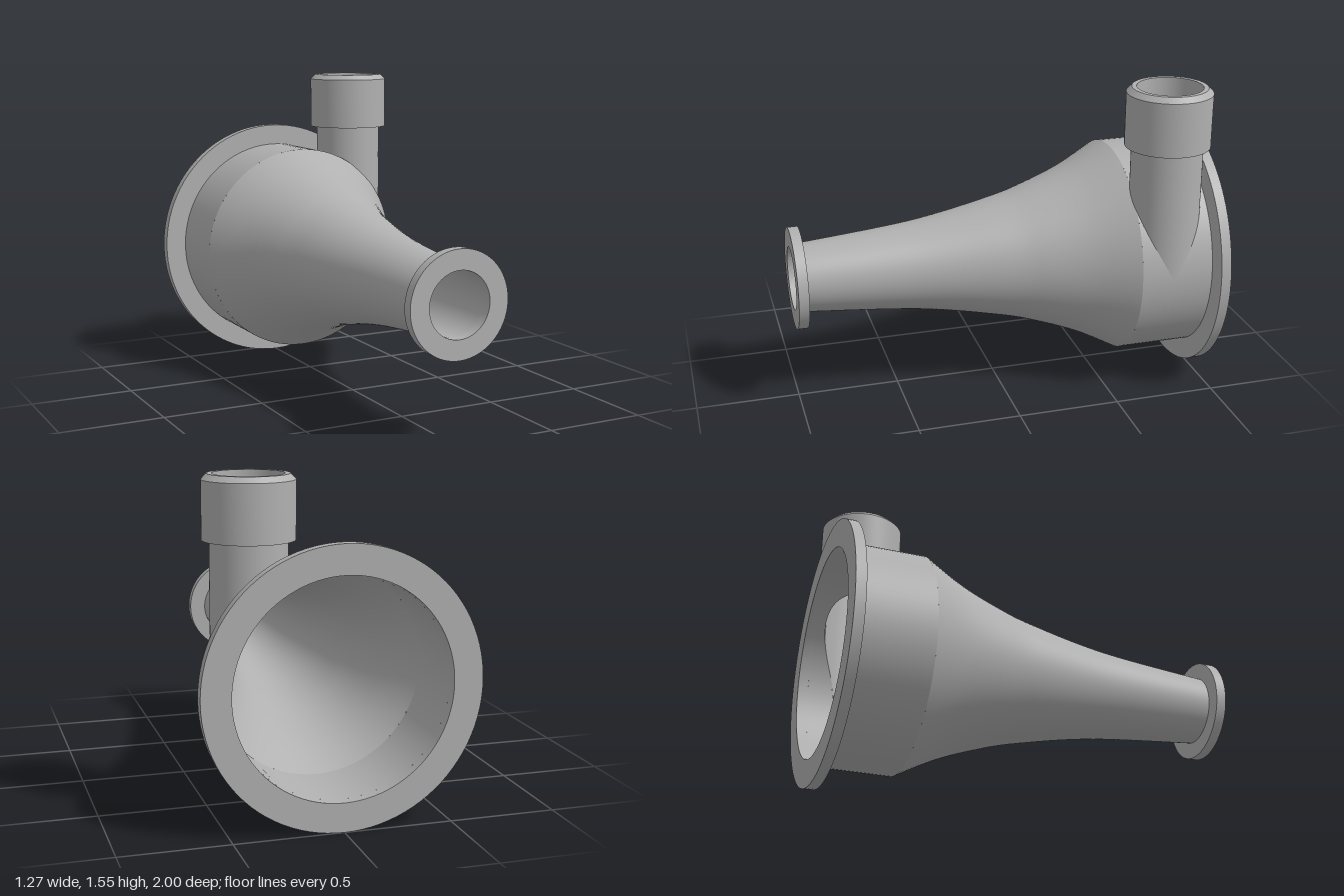
import * as THREE from 'three';
import { toCreasedNormals } from 'three/addons/utils/BufferGeometryUtils.js';

const AXIS_Y = 0.635;                 // height of the main axis
const PIPE_X = 0.36, PIPE_Z = -0.755; // axis of the tangential inlet
const BORE = 0.155;
const SHOULDER = -0.595;              // where the drum meets the cone

export function createModel() {
  const model = new THREE.Group();
  model.name = 'cycloneHousing';
  const steel = new THREE.MeshStandardMaterial({ color: 0xb0b0b0, side: THREE.DoubleSide });
  steel.name = 'grey';

  function add(name, geometry, y = 0) {
    const mesh = new THREE.Mesh(geometry, steel);
    mesh.name = name;
    mesh.position.y = y;
    model.add(mesh);
  }

  // Profile is [radius, height along axis]
  function turned(profile, segments = 96) {
    const pts = profile.map(([r, h]) => new THREE.Vector2(r, h));
    return new THREE.LatheGeometry(pts, segments);
  }

  function flange(name, outer, inner, z0, z1) {
    const geo = turned([[inner, z0], [outer, z0], [outer, z1], [inner, z1], [inner, z0]]);
    add(name, toCreasedNormals(geo, 0.5).rotateX(Math.PI / 2), AXIS_Y);
  }

  // Drum wall along z with the round inlet opening cut through its upper side
  function drumWall(R, hole, z0, z1, inward) {
    const N = 32, xMax = Math.min(R, PIPE_X + hole);
    const phiMax = Math.acos(Math.max(-1, (PIPE_X - xMax) / hole));
    const cols = [];
    for (let i = N; i >= 0; i--) {
      const x = PIPE_X - hole * Math.cos(phiMax * i / N);
      cols.push({
        a: Math.acos(Math.min(1, x / R)),
        h: Math.sqrt(Math.max(0, hole * hole - (x - PIPE_X) ** 2)),
      });
    }
    const start = cols[N].a, sweep = cols[0].a + 2 * Math.PI - start;
    for (let i = 1; i <= 80; i++) cols.push({ a: start + sweep * i / 80, h: 0 });

    const pos = [], nor = [], idx = [], s = inward ? -1 : 1;
    const quad = (a, b, za, zb, zc, zd) => {
      const k = pos.length / 3;
      for (const [t, z] of [[a, za], [b, zb], [b, zc], [a, zd]]) {
        pos.push(R * Math.cos(t), R * Math.sin(t), z);
        nor.push(s * Math.cos(t), s * Math.sin(t), 0);
      }
      if (inward) idx.push(k, k + 2, k + 1, k, k + 3, k + 2);
      else idx.push(k, k + 1, k + 2, k, k + 2, k + 3);
    };
    for (let i = 0; i < cols.length - 1; i++) {
      const p = cols[i], q = cols[i + 1];
      if (i < N) {
        quad(p.a, q.a, z0, z0, PIPE_Z - q.h, PIPE_Z - p.h);
        quad(p.a, q.a, PIPE_Z + p.h, PIPE_Z + q.h, z1, z1);
      } else {
        quad(p.a, q.a, z0, z0, z1, z1);
      }
    }
    const geo = new THREE.BufferGeometry();
    geo.setAttribute('position', new THREE.Float32BufferAttribute(pos, 3));
    geo.setAttribute('normal', new THREE.Float32BufferAttribute(nor, 3));
    geo.setIndex(idx);
    return geo;
  }

  // Upright tube whose lower rim follows a drum of radius R
  function trimmedTube(r, R, top, inward) {
    const geo = new THREE.CylinderGeometry(r, r, 1, 72, 1, true);
    const p = geo.attributes.position, n = geo.attributes.normal;
    for (let i = 0; i < p.count; i++) {
      const x = p.getX(i) + PIPE_X;
      const low = AXIS_Y + Math.sqrt(Math.max(0, R * R - x * x));
      p.setXYZ(i, x, p.getY(i) > 0 ? top : low, p.getZ(i) + PIPE_Z);
      if (inward) n.setXYZ(i, -n.getX(i), 0, -n.getZ(i));
    }
    if (inward) geo.index.array.reverse();
    return geo;
  }

  // End flanges
  flange('largeFlange', 0.635, 0.5, -1, -0.95);
  flange('smallFlange', 0.247, 0.153, 0.95, 1);

  // Drum, outside and inside
  add('drumOuterWall', drumWall(0.53, 0.162, -0.95, SHOULDER, false), AXIS_Y);
  add('drumInnerWall', drumWall(0.5, BORE, -0.95, SHOULDER, true), AXIS_Y);

  // Flared cone, outside and inside
  const flare = new THREE.SplineCurve([
    [0.53, SHOULDER], [0.428, -0.4], [0.352, -0.2], [0.295, 0], [0.219, 0.4], [0.167, 0.95],
  ].map(([r, z]) => new THREE.Vector2(r, z))).getPoints(40);
  const outer = flare.map((v) => [v.x, v.y]);
  const inner = flare.map((v, i) => [v.x - 0.03 + 0.016 * i / 40, v.y]).reverse();
  add('coneOuterWall', turned(outer).rotateX(Math.PI / 2), AXIS_Y);
  add('coneInnerWall', turned(inner).rotateX(Math.PI / 2), AXIS_Y);

  // Tangential inlet pipe with its collar
  add('inletPipe', trimmedTube(0.17, 0.512, 1.27, false));
  add('inletBore', trimmedTube(BORE, 0.5, 1.55, true));
  const collar = turned([[0.168, 1.268], [0.203, 1.268], [0.203, 1.525], [0.178, 1.55], [BORE, 1.55]], 72);
  add('inletCollar', toCreasedNormals(collar, 0.5).translate(PIPE_X, 0, PIPE_Z));

  return model;
}
